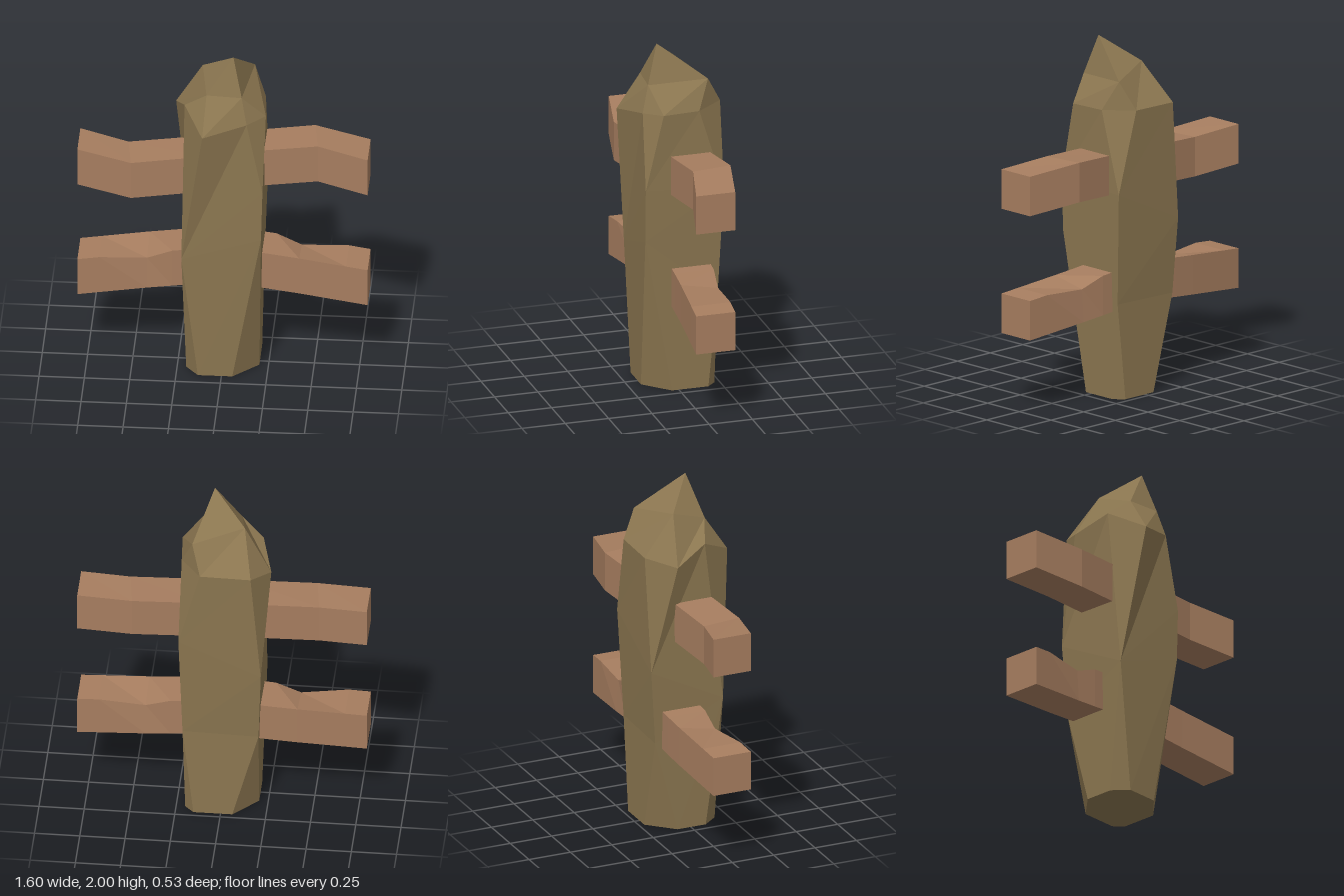
import * as THREE from 'three';

const stone = new THREE.MeshStandardMaterial({ color: 0x8b7650, flatShading: true });
const wood = new THREE.MeshStandardMaterial({ color: 0xa67d5f, flatShading: true });

// Flat-shaded skin over matching rings of [x, y, z] points, closed at both ends
function loft(rings) {
  const pos = [];
  const same = (a, b) => a.every((v, i) => v === b[i]);
  const tri = (a, b, c) => {
    if (!same(a, b) && !same(b, c) && !same(a, c)) pos.push(...a, ...b, ...c);
  };
  const n = rings[0].length;
  for (let r = 0; r < rings.length - 1; r++) {
    const lo = rings[r], hi = rings[r + 1];
    for (let i = 0; i < n; i++) {
      const j = (i + 1) % n;
      tri(lo[i], lo[j], hi[j]);
      tri(lo[i], hi[j], hi[i]);
    }
  }
  const first = rings[0], last = rings[rings.length - 1];
  for (let i = 1; i < n - 1; i++) {
    tri(first[0], first[i + 1], first[i]);
    tri(last[0], last[i], last[i + 1]);
  }
  const g = new THREE.BufferGeometry();
  g.setAttribute('position', new THREE.Float32BufferAttribute(pos, 3));
  g.computeVertexNormals();
  return g;
}

// Four corner points doubled so they join an eight-sided ring
const corners = (...pts) => pts.flatMap((p) => [p, p]);

function createPost() {
  const apex = [0.06, 2, 0.085];
  return loft([
    // eight-sided foot
    [[-0.2, 0, 0.09], [-0.13, 0, 0.175], [0.06, 0, 0.175], [0.2, 0, 0.04],
      [0.2, 0, -0.17], [0.15, 0, -0.22], [-0.065, 0, -0.22], [-0.2, 0, -0.08]],
    // four-cornered shaft
    corners([-0.22, 0.75, 0.185], [0.22, 0.9, 0.2], [0.21, 0.55, -0.22], [-0.21, 0.54, -0.22]),
    corners([-0.22, 0.75, 0.185], [0.228, 1.2, 0.2], [0.23, 1.18, -0.25], [-0.225, 0.97, -0.25]),
    // eight-sided shoulder
    [[-0.21, 1.68, 0.08], [-0.1, 1.58, 0.265], [0.14, 1.63, 0.19], [0.24, 1.64, 0.1],
      [0.225, 1.64, -0.11], [0.11, 1.645, -0.265], [-0.17, 1.64, -0.265], [-0.27, 1.59, -0.11]],
    // crown and tip
    corners([-0.085, 1.78, 0.135], [0.11, 1.78, 0.15], [0.16, 1.8, -0.18], [-0.12, 1.85, -0.07]),
    corners(apex, apex, apex, apex),
  ]);
}

// Square beam through stations [x, centre y, centre z, slant, chipped corner], in rising x
function createArm(stations) {
  const h = 0.1125;
  return loft(stations.map(([x, y, z, slant = 0, chip = -1]) =>
    [[1, -1], [1, 1], [-1, 1], [-1, -1]].map(([sy, sz], i) => {
      const drop = i === chip ? 0.04 : 0;
      return [x + sz * slant, y + sy * h - drop, z + sz * (h - drop * 0.3)];
    })));
}

export function createModel() {
  const group = new THREE.Group();
  const add = (name, geometry, material) => {
    const mesh = new THREE.Mesh(geometry, material);
    mesh.name = name;
    group.add(mesh);
  };

  add('post', createPost(), stone);

  // Bent upper arms
  add('upperLeftArm', createArm([
    [0.08, 1.27, -0.04], [0.505, 1.295, -0.093, 0.015], [0.8, 1.26, -0.023],
  ]), wood);
  add('upperRightArm', createArm([
    [-0.8, 1.26, -0.023], [-0.515, 1.225, 0.042, 0.015], [-0.08, 1.255, -0.01],
  ]), wood);

  // Straight lower arms, each with a chipped top edge
  add('lowerLeftArm', createArm([
    [0.08, 0.627, -0.072], [0.28, 0.606, -0.063], [0.42, 0.592, -0.055, 0, 0],
    [0.68, 0.565, -0.033], [0.8, 0.5525, -0.023],
  ]), wood);
  add('lowerRightArm', createArm([
    [-0.8, 0.5525, -0.023], [-0.68, 0.565, -0.033], [-0.42, 0.592, -0.055, 0, 1],
    [-0.28, 0.606, -0.063], [-0.08, 0.627, -0.072],
  ]), wood);

  return group;
}
